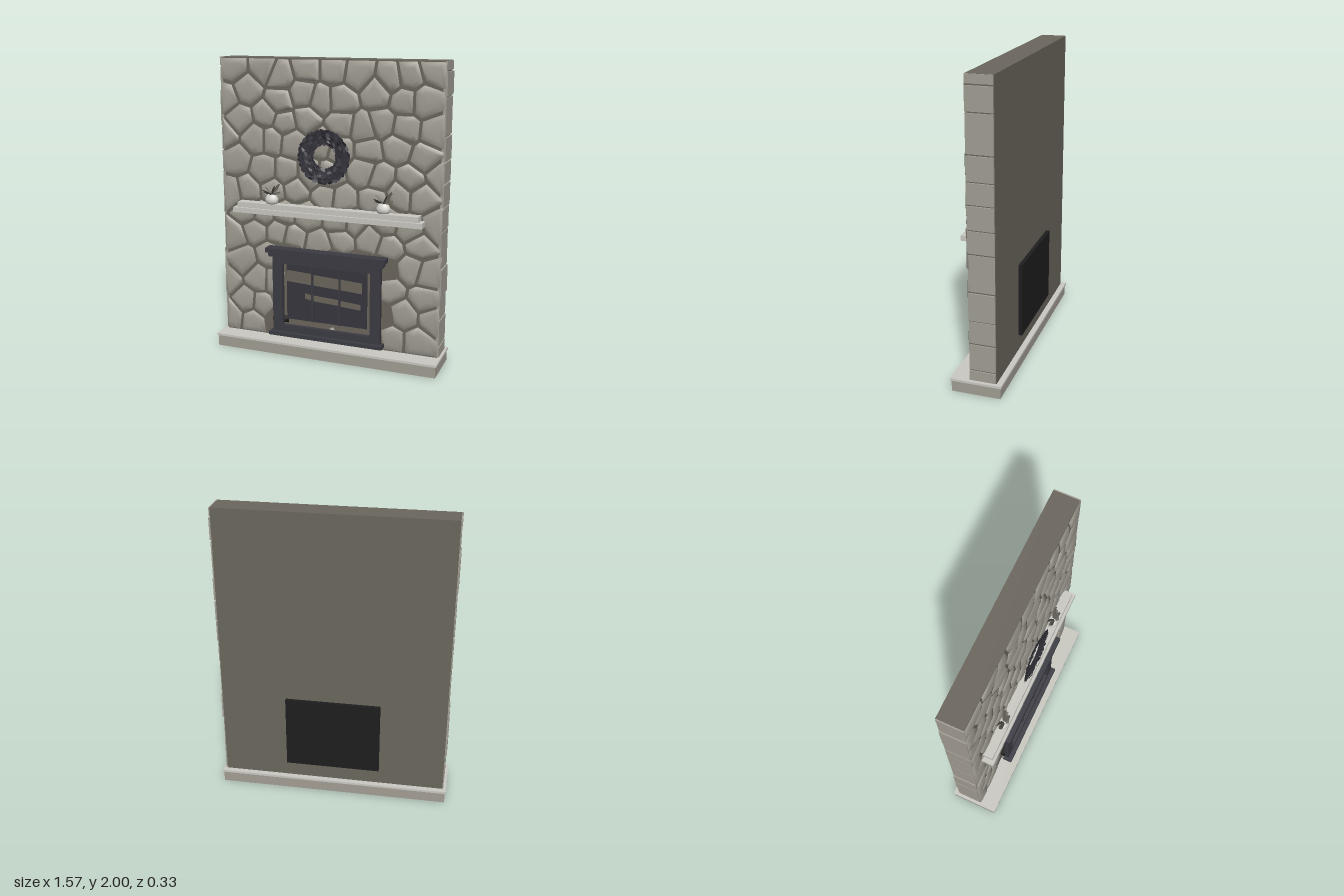
import * as THREE from 'three';
import { mergeGeometries } from 'three/addons/utils/BufferGeometryUtils.js';

const mat = (name, color, side = THREE.FrontSide) => {
  const m = new THREE.MeshStandardMaterial({ color, side });
  m.name = name;
  return m;
};

// Small seeded random generator
function seeded(seed) {
  return () => {
    seed = (seed * 16807) % 2147483647;
    return seed / 2147483647;
  };
}

// Keep the part of a polygon closer to point a than to b, less a mortar gap
function clipCell(poly, a, b, gap) {
  const dx = b[0] - a[0], dy = b[1] - a[1], len = Math.hypot(dx, dy);
  const dist = (p) => ((p[0] - a[0]) * dx + (p[1] - a[1]) * dy) / len - (len / 2 - gap);
  const out = [];
  poly.forEach((p, i) => {
    const q = poly[(i + 1) % poly.length], dp = dist(p), dq = dist(q);
    if (dp <= 0) out.push(p);
    if (dp * dq < 0) {
      const t = dp / (dp - dq);
      out.push([p[0] + (q[0] - p[0]) * t, p[1] + (q[1] - p[1]) * t]);
    }
  });
  return out;
}

// One pillow-shaped stone lofted from shrinking rings of its outline
function stoneGeometry(poly, rand) {
  const n = poly.length;
  const cx = poly.reduce((s, p) => s + p[0], 0) / n, cy = poly.reduce((s, p) => s + p[1], 0) / n;
  const tx = (rand() - 0.5) * 0.08, ty = (rand() - 0.5) * 0.08;
  const pos = [], idx = [];
  for (const [scale, z] of [[1, 0.034], [0.92, 0.047], [0.55, 0.053]]) {
    for (const [x, y] of poly) {
      const dx = (x - cx) * scale, dy = (y - cy) * scale;
      pos.push(cx + dx, cy + dy, z + (scale < 1 ? tx * dx + ty * dy : 0));
    }
  }
  pos.push(cx, cy, 0.054);
  for (let i = 0; i < n; i++) {
    const j = (i + 1) % n;
    for (let r = 0; r < 2; r++) {
      const a = r * n + i, b = r * n + j;
      idx.push(a, b, b + n, a, b + n, a + n);
    }
    idx.push(2 * n + i, 2 * n + j, 3 * n);
  }
  const g = new THREE.BufferGeometry();
  g.setAttribute('position', new THREE.Float32BufferAttribute(pos, 3));
  g.setIndex(idx);
  g.computeVertexNormals();
  return g;
}

export function createModel() {
  const model = new THREE.Group();
  model.name = 'stoneFireplace';
  const rand = seeded(4321);
  const mortar = mat('mortar', 0x6b675d);
  const stone = mat('stone', 0xa39f95);
  const slab = mat('paleSlab', 0xcbcac3);
  const iron = mat('darkIron', 0x3c3b44);
  const glass = mat('darkGlass', 0x37363e);
  const black = mat('blackMetal', 0x1e1e1e);
  const foliage = mat('wreathLeaves', 0x35343c, THREE.DoubleSide);
  const ceramic = mat('ceramic', 0xd8d7d1);
  const leaf = mat('dryLeaves', 0x5f5c54, THREE.DoubleSide);

  const add = (name, geometry, material, parent = model) => {
    const m = new THREE.Mesh(geometry, material);
    m.name = name;
    parent.add(m);
    return m;
  };
  // Box given by its limits on each axis
  const box = (name, x0, x1, y0, y1, z0, z1, material, parent) => {
    const g = new THREE.BoxGeometry(x1 - x0, y1 - y0, z1 - z0);
    g.translate((x0 + x1) / 2, (y0 + y1) / 2, (z0 + z1) / 2);
    return add(name, g, material, parent);
  };

  // Hearth, wall core and rear metal box
  box('hearth', -0.78, 0.78, 0, 0.078, -0.16, 0.16, stone);
  box('hearthCap', -0.787, 0.787, 0.075, 0.09, -0.167, 0.167, slab);
  box('wall', -0.762, 0.762, 0.09, 2, -0.13, 0.04, mortar);
  box('rearBox', -0.32, 0.32, 0.2, 0.7, -0.155, -0.12, black);

  // Side stones, stacked with thin joints
  const joints = [0.09, 0.165, 0.345, 0.5, 0.69, 0.935, 1.085, 1.24, 1.38, 1.54, 1.785, 1.94, 2.004];
  for (const s of [-1, 1]) {
    for (let i = 0; i < joints.length - 1; i++) {
      const out = 0.767 + rand() * 0.008;
      const a = s * 0.75, b = s * out;
      box('sideStone', Math.min(a, b), Math.max(a, b), joints[i] + 0.005, joints[i + 1] - 0.005,
        -0.127, 0.042, stone);
    }
  }

  // Front fieldstones: irregular cells around scattered seeds, open behind the firebox
  const seeds = [];
  const inOpening = ([x, y]) => Math.abs(x) < 0.4 && y < 0.69;
  for (let r = 0; r < 12; r++) {
    for (let c = 0; c < 9; c++) {
      const x = -0.72 + (c + (r % 2) * 0.5) * 0.169 + (rand() - 0.5) * 0.09;
      const y = 0.17 + r * 0.159 + (rand() - 0.5) * 0.085;
      seeds.push([x, y]);
    }
  }
  const stones = [];
  const lowRow = [-0.3, -0.12, 0.05, 0.24].map((x) => [x, 0.1]);
  const all = seeds.concat(lowRow);
  for (const a of all) {
    if (inOpening(a) && !lowRow.includes(a)) continue;
    let poly = [[-0.768, 0.092], [0.768, 0.092], [0.768, 1.996], [-0.768, 1.996]];
    for (const b of all) {
      if (b !== a && poly.length) poly = clipCell(poly, a, b, 0.007);
    }
    if (poly.length > 2) stones.push(stoneGeometry(poly, rand));
  }
  add('frontStones', mergeGeometries(stones), stone);

  // Mantel shelf
  box('mantelLower', -0.66, 0.66, 0.968, 1.002, 0.03, 0.125, slab);
  box('mantelUpper', -0.632, 0.632, 1.002, 1.038, 0.03, 0.108, slab);

  // Firebox surround
  const surround = new THREE.Group();
  surround.name = 'surround';
  model.add(surround);
  const rect = (P, x, y0, y1) => {
    const p = new P();
    p.moveTo(-x, y0);
    p.lineTo(x, y0);
    p.lineTo(x, y1);
    p.lineTo(-x, y1);
    p.closePath();
    return p;
  };
  const frameShape = rect(THREE.Shape, 0.385, 0.14, 0.69);
  frameShape.holes.push(rect(THREE.Path, 0.313, 0.192, 0.63));
  const frame = new THREE.ExtrudeGeometry(frameShape, { depth: 0.03, bevelEnabled: false });
  frame.translate(0, 0, 0.065);
  add('frame', frame, iron, surround);
  box('cornice', -0.422, 0.422, 0.708, 0.74, 0.052, 0.13, iron, surround);
  box('corniceStep', -0.405, 0.405, 0.68, 0.708, 0.058, 0.117, iron, surround);
  box('bottomRail', -0.405, 0.405, 0.12, 0.145, 0.058, 0.125, iron, surround);

  // Glass doors with reflections, split by two bars
  box('glass', -0.288, 0.288, 0.235, 0.632, 0.068, 0.076, glass, surround);
  for (const x of [-0.1, 0.095]) box('glassBar', x - 0.006, x + 0.006, 0.235, 0.632, 0.07, 0.084, iron, surround);
  const streaks = [
    [-0.285, -0.108, 0.5, 0.58], [-0.092, 0.087, 0.49, 0.565], [0.103, 0.255, 0.48, 0.555],
    [-0.155, -0.108, 0.39, 0.43], [-0.092, 0.087, 0.378, 0.42], [0.103, 0.245, 0.365, 0.405],
  ];
  for (const [x0, x1, y0, y1] of streaks) {
    const s = new THREE.Shape([[x0, y0 + 0.006], [x1, y0 - 0.004], [x1, y1 - 0.004], [x0, y1 + 0.006]]
      .map(([x, y]) => new THREE.Vector2(x, y)));
    const g = new THREE.ShapeGeometry(s);
    g.translate(0, 0, 0.078);
    add('reflection', g, mortar, surround);
  }
  // Valve poking out beside the frame
  const valve = add('valve', new THREE.CylinderGeometry(0.024, 0.024, 0.11, 12), black, surround);
  valve.rotation.z = Math.PI / 2;
  valve.position.set(-0.345, 0.22, 0.05);
  valve.scale.z = 0.8;

  // Wreath: shallow dished ring covered with small leaves
  const wreath = new THREE.Group();
  wreath.name = 'wreath';
  wreath.position.set(0, 1.383, 0);
  model.add(wreath);
  const dish = new THREE.LatheGeometry(
    [[0.082, 0.102], [0.125, 0.111], [0.172, 0.119]].map(([x, y]) => new THREE.Vector2(x, y)), 40);
  dish.rotateX(Math.PI / 2);
  add('wreathRing', dish, foliage, wreath);
  const leaves = [];
  for (let i = 0; i < 150; i++) {
    const r = 0.085 + 0.085 * ((i % 5) / 4), a = (i / 150) * Math.PI * 2;
    const g = new THREE.CircleGeometry(0.021, 6);
    g.scale(1, 0.5, 1);
    g.rotateX((rand() - 0.5) * 1.1);
    g.rotateY((rand() - 0.5) * 0.5);
    g.rotateZ(a + Math.PI / 2 + (rand() - 0.5) * 1.2);
    g.translate(Math.cos(a) * r, Math.sin(a) * r, 0.104 + (r - 0.085) * 0.19 + rand() * 0.004);
    leaves.push(g);
  }
  add('wreathLeaves', mergeGeometries(leaves), foliage, wreath);

  // Potted dry plants on the mantel
  const potProfile = [[0, 0], [0.036, 0], [0.046, 0.015], [0.046, 0.035], [0.034, 0.056], [0.026, 0.062], [0, 0.062]]
    .map(([x, y]) => new THREE.Vector2(x, y));
  const blades = [ // tilt from upright, turn about y, length
    [1.25, 0.1, 0.07], [0.9, 2.9, 0.09], [1.1, -2.6, 0.075], [0.6, -0.4, 0.09],
    [1.3, -1.2, 0.055], [0.5, 0.8, 0.1], [1.35, 3.3, 0.065],
  ];
  for (const x of [-0.392, 0.39]) {
    const plant = new THREE.Group();
    plant.name = 'pottedPlant';
    plant.position.set(x, 1.038, 0.073);
    plant.scale.z = 0.75;
    model.add(plant);
    add('pot', new THREE.LatheGeometry(potProfile, 20), ceramic, plant);
    for (const [tilt, turn, len] of blades) {
      const g = new THREE.CircleGeometry(0.5, 6);
      g.scale(0.036, len, 1);
      g.rotateY(Math.PI / 2);
      g.translate(0, len / 2, 0);
      g.rotateZ(-tilt);
      g.rotateX(0.4);
      g.rotateY(turn);
      g.translate(0, 0.06, 0);
      add('plantLeaf', g, leaf, plant);
    }
  }
  return model;
}
